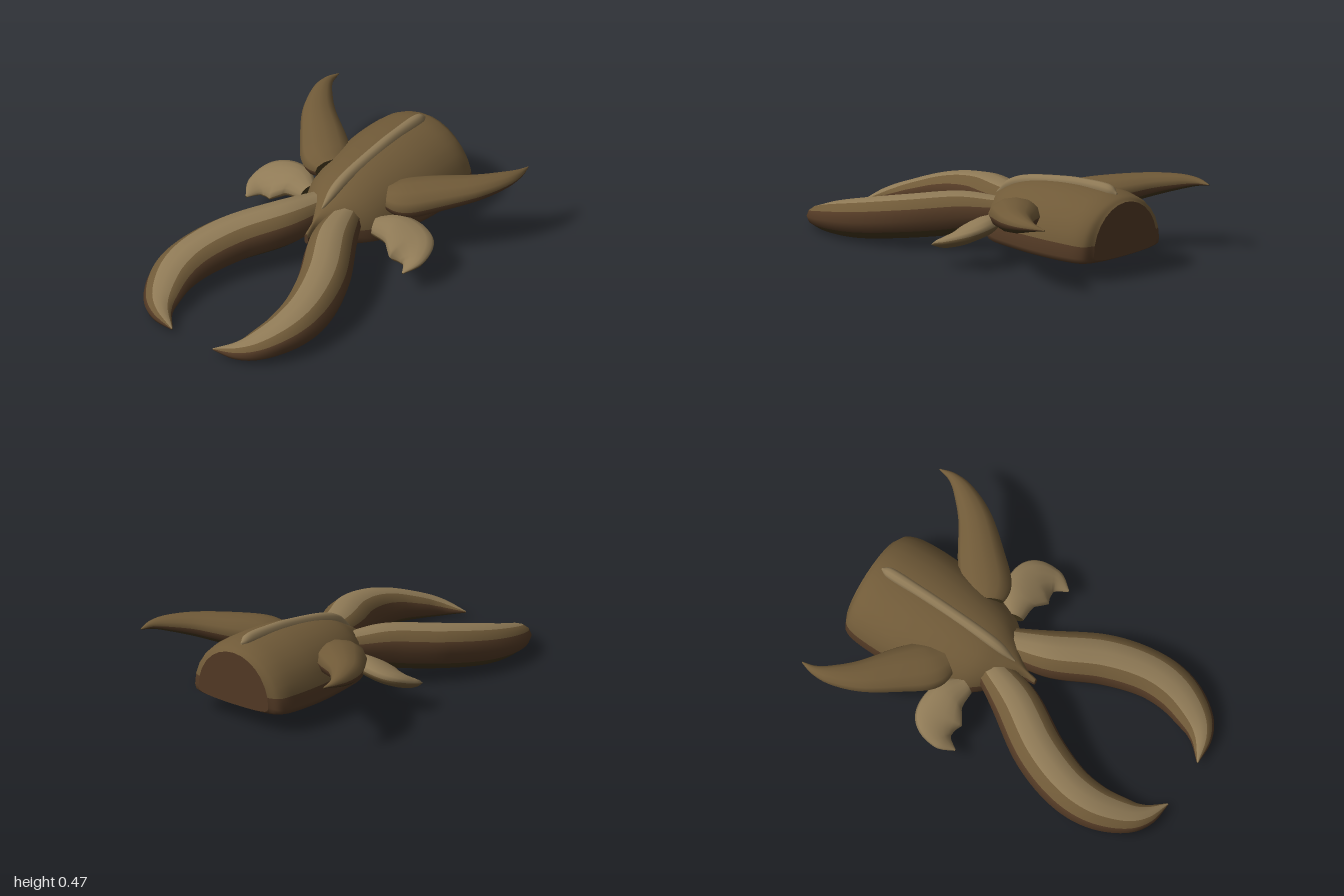
import * as THREE from 'three';

const flat = (name, color) => {
  const m = new THREE.MeshStandardMaterial({ color });
  m.name = name;
  return m;
};
const palette = [
  flat('tan', 0x8f7a56),
  flat('brown', 0x705a38),
  flat('umber', 0x533a25),
  flat('darkOlive', 0x43361c),
];
const TAN = 0, BROWN = 1, UMBER = 2, DARK = 3;

// Lofts oval rings through stations [x, y, z, halfWidth, upperHeight, lowerHeight].
// band(sine) picks the colour of each lengthwise strip; side -1 mirrors in x.
function loft(name, stations, { sides = 12, rings = 40, side = 1, tilt = 0, boxy = 1, band, cap = DARK }) {
  const spline = (o) => new THREE.CatmullRomCurve3(
    stations.map((s) => new THREE.Vector3(s[o], s[o + 1], s[o + 2] ?? s[o + 1])), false, 'catmullrom', 0.5);
  const path = spline(0), size = spline(3);
  const pos = [], strips = palette.map(() => []);
  const tri = (m, a, b, c) => strips[m].push(...(side > 0 ? [a, b, c] : [a, c, b]));

  for (let i = 0; i <= rings; i++) {
    const p = path.getPoint(i / rings), t = path.getTangent(i / rings), s = size.getPoint(i / rings);
    const len = Math.hypot(t.x, t.z), nx = -t.z / len, nz = t.x / len;
    const w = Math.max(s.x, 0.001);
    for (let k = 0; k < sides; k++) {
      const a = (k / sides) * Math.PI * 2, c = Math.cos(a) * w;
      const sn = Math.sin(a);
      const h = sn >= 0 ? sn * Math.max(s.y, 0.001) : -Math.pow(-sn, boxy) * Math.max(s.z, 0.001);
      pos.push(side * (p.x + nx * c), p.y + h - tilt * c, p.z + nz * c);
    }
  }
  for (let i = 0; i < rings; i++) {
    for (let k = 0; k < sides; k++) {
      const k2 = (k + 1) % sides, a = i * sides + k, b = a + sides;
      const c = i * sides + k2, d = c + sides;
      const m = band(Math.sin(((k + 0.5) / sides) * Math.PI * 2));
      tri(m, a, b, c);
      tri(m, b, d, c);
    }
  }
  // End caps use their own ring so the rim stays sharp
  for (const end of [0, rings]) {
    const base = pos.length / 3, p = path.getPoint(end / rings);
    pos.push(...pos.slice(end * sides * 3, (end + 1) * sides * 3), side * p.x, p.y, p.z);
    for (let k = 0; k < sides; k++) {
      const a = base + k, b = base + ((k + 1) % sides);
      if (end) tri(cap, base + sides, b, a);
      else tri(cap, base + sides, a, b);
    }
  }

  const geo = new THREE.BufferGeometry();
  geo.setAttribute('position', new THREE.Float32BufferAttribute(pos, 3));
  geo.setIndex(strips.flat());
  let start = 0;
  strips.forEach((s, m) => {
    if (s.length) geo.addGroup(start, s.length, m);
    start += s.length;
  });
  geo.computeVertexNormals();
  const mesh = new THREE.Mesh(geo, palette);
  mesh.name = name;
  return mesh;
}

export function createModel() {
  const model = new THREE.Group();
  model.name = 'clawedHull';

  // Domed hull with a flat belly, from the pointed nose to the blunt stern
  model.add(loft('hull', [
    [0, 0.17, 0.05, 0.012, 0.03, 0.03],
    [0, 0.17, -0.03, 0.03, 0.09, 0.05],
    [0, 0.15, -0.13, 0.15, 0.17, 0.07],
    [0, 0.13, -0.25, 0.25, 0.25, 0.05],
    [0, 0.13, -0.42, 0.3, 0.29, 0.05],
    [0, 0.13, -0.65, 0.335, 0.31, 0.05],
    [0, 0.13, -0.85, 0.335, 0.305, 0.05],
    [0, 0.13, -0.95, 0.31, 0.285, 0.045],
    [0, 0.14, -0.99, 0.25, 0.25, 0.04],
  ], { sides: 28, rings: 56, boxy: 0.45, cap: UMBER, band: (s) => (s > 0.28 ? BROWN : UMBER) }));

  // Raised ridge along the spine
  model.add(loft('spineRidge', [
    [0, 0.29, -0.08, 0.004, 0.01, 0.03],
    [0, 0.35, -0.17, 0.026, 0.03, 0.05],
    [0, 0.39, -0.3, 0.031, 0.035, 0.05],
    [0, 0.425, -0.55, 0.031, 0.035, 0.05],
    [0, 0.435, -0.7, 0.031, 0.035, 0.05],
    [0, 0.435, -0.87, 0.031, 0.033, 0.05],
    [0, 0.42, -0.93, 0.006, 0.01, 0.03],
  ], { sides: 10, cap: TAN, band: () => TAN }));

  for (const side of [1, -1]) {
    const label = side > 0 ? 'left' : 'right';

    // Long curved front claw
    model.add(loft(label + 'Claw', [
      [0.09, 0.21, -0.17, 0.09, 0.09, 0.09],
      [0.17, 0.19, 0.04, 0.13, 0.12, 0.12],
      [0.31, 0.158, 0.28, 0.14, 0.12, 0.12],
      [0.385, 0.125, 0.5, 0.135, 0.112, 0.112],
      [0.39, 0.1, 0.68, 0.125, 0.092, 0.092],
      [0.335, 0.07, 0.84, 0.1, 0.066, 0.066],
      [0.26, 0.05, 0.93, 0.062, 0.043, 0.043],
      [0.14, 0.036, 0.99, 0.004, 0.004, 0.004],
    ], {
      side, rings: 48,
      band: (s) => (s > 0.8 ? TAN : s > 0.5 ? BROWN : s > -0.5 ? UMBER : DARK),
    }));

    // Swept rear wing
    model.add(loft(label + 'Wing', [
      [0.19, 0.29, -0.4, 0.1, 0.06, 0.06],
      [0.27, 0.285, -0.45, 0.138, 0.09, 0.085],
      [0.38, 0.305, -0.55, 0.127, 0.085, 0.085],
      [0.53, 0.335, -0.69, 0.092, 0.063, 0.065],
      [0.62, 0.352, -0.82, 0.058, 0.045, 0.04],
      [0.655, 0.36, -0.915, 0.028, 0.025, 0.02],
      [0.655, 0.36, -1, 0.003, 0.003, 0.003],
    ], { side, band: (s) => (s > 0 ? BROWN : s > -0.5 ? UMBER : DARK) }));

    // Short rounded side fin
    model.add(loft(label + 'Fin', [
      [0.23, 0.2, -0.24, 0.05, 0.04, 0.04],
      [0.35, 0.195, -0.28, 0.1, 0.06, 0.05],
      [0.47, 0.165, -0.255, 0.125, 0.055, 0.045],
      [0.535, 0.135, -0.19, 0.068, 0.035, 0.03],
      [0.54, 0.11, -0.1, 0.004, 0.004, 0.004],
    ], { side, tilt: 0.25, sides: 14, rings: 32, band: (s) => (s > 0 ? TAN : BROWN) }));
  }
  return model;
}
